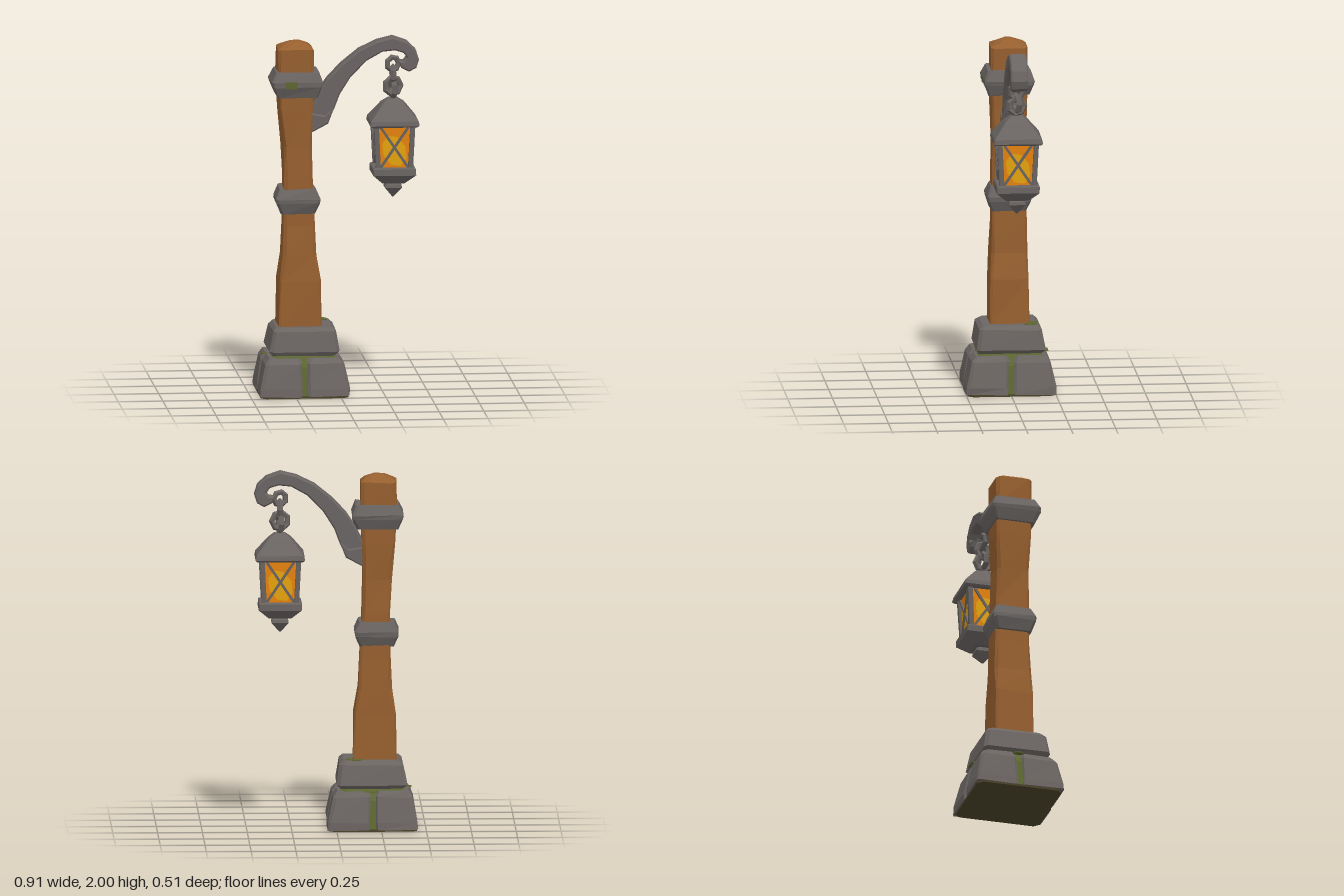
import * as THREE from 'three';

const mat = (name, color) => {
  const m = new THREE.MeshStandardMaterial({ color, flatShading: true });
  m.name = name;
  return m;
};

// Small seeded generator for hand-hewn irregularity
let seed = 7;
const rnd = () => {
  seed = (seed * 16807) % 2147483647;
  return (seed / 2147483647) * 2 - 1;
};

// Stack of chamfered rectangles; each row is [y, x0, x1, z0, z1, chamfer]
function loft(rows, jitter = 0) {
  const rings = rows.map(([y, x0, x1, z0, z1, c]) => [
    [x1 - c, z1], [x1, z1 - c], [x1, z0 + c], [x1 - c, z0],
    [x0 + c, z0], [x0, z0 + c], [x0, z1 - c], [x0 + c, z1],
  ].map(([x, z]) => [x + rnd() * jitter, y + rnd() * jitter, z + rnd() * jitter]));
  const pos = [];
  const tri = (...p) => p.forEach((v) => pos.push(...v));
  const middle = (ring) => [0, 1, 2].map((k) => ring.reduce((s, p) => s + p[k], 0) / 8);
  const last = rings[rings.length - 1];
  for (let i = 0; i < 8; i++) {
    const j = (i + 1) % 8;
    for (let r = 0; r < rings.length - 1; r++) {
      const [a, b, c, d] = [rings[r][i], rings[r][j], rings[r + 1][j], rings[r + 1][i]];
      tri(a, b, c);
      tri(a, c, d);
    }
    tri(middle(rings[0]), rings[0][j], rings[0][i]);
    tri(middle(last), last[i], last[j]);
  }
  const g = new THREE.BufferGeometry();
  g.setAttribute('position', new THREE.Float32BufferAttribute(pos, 3));
  g.computeVertexNormals();
  return g;
}

// Square section centred on the origin
const sq = (y, h, c = 0.005) => [y, -h, h, -h, h, c];

// Outline in x and y with bevelled edges, centred on z = 0
function slab(points, width) {
  const b = 0.008;
  return new THREE.ExtrudeGeometry(new THREE.Shape(points.map(([x, y]) => new THREE.Vector2(x, y))), {
    depth: width - 2 * b, bevelEnabled: true, bevelThickness: b, bevelSize: b, bevelOffset: -b, bevelSegments: 1,
  }).translate(0, 0, b - width / 2);
}

export function createModel() {
  seed = 7;
  const stone = mat('stone', 0x6b6562);
  const iron = mat('iron', 0x696462);
  const wood = mat('wood', 0x965f2f);
  const moss = mat('moss', 0x5c6630);
  const soil = mat('soil', 0x4a4329);
  const amber = mat('amberGlass', 0xe8840e);
  const glow = mat('glowingGlass', 0xeaa610);

  const model = new THREE.Group();
  model.name = 'lampPost';
  const add = (parent, name, geo, material, x = 0, y = 0, z = 0) => {
    const m = new THREE.Mesh(geo, material);
    m.name = name;
    m.position.set(x, y, z);
    parent.add(m);
    return m;
  };

  // Underside, and the mossy core that fills the joints between the stones
  add(model, 'underside', loft([
    [0, -0.448, 0.043, -0.244, 0.244, 0.03],
    [0.012, -0.448, 0.043, -0.244, 0.244, 0.03],
  ]), soil);
  add(model, 'mossCore', loft([
    [0.008, -0.442, 0.038, -0.24, 0.24, 0.03],
    [0.17, -0.416, 0.012, -0.213, 0.213, 0.03],
    [0.205, -0.39, -0.012, -0.19, 0.19, 0.03],
    [0.25, -0.36, -0.04, -0.16, 0.16, 0.02],
  ]), moss);

  // Four foundation stones
  for (const sx of [-1, 1]) {
    for (const sz of [-1, 1]) {
      const row = (y, inner, outer, c) => {
        const x = [-0.202 + sx * inner, -0.202 + sx * outer].sort((a, b) => a - b);
        const z = [sz * inner, sz * outer].sort((a, b) => a - b);
        return [y, ...x, ...z, c];
      };
      add(model, 'foundationStone', loft([
        row(0.01, 0.018, 0.252, 0.01),
        row(0.05, 0.014, 0.248, 0.014),
        row(0.19, 0.012, 0.222, 0.016),
        row(0.222, 0.02, 0.198, 0.018),
      ], 0.005), stone);
    }
  }

  // Upper plinth stone
  add(model, 'plinthStone', loft([
    [0.23, -0.375, -0.025, -0.175, 0.175, 0.02],
    [0.252, -0.398, -0.003, -0.193, 0.193, 0.022],
    [0.365, -0.373, -0.018, -0.175, 0.175, 0.02],
    [0.387, -0.352, -0.04, -0.155, 0.155, 0.02],
  ], 0.004), stone);

  // Moss on the plinth corner and over the back and right-hand joints
  const mossPatch = (w, d, x, y, z) =>
    add(model, 'mossPatch', loft([[0, -w, w, -d, d, d * 0.5], [0.006, -w, w, -d, d, d * 0.5]], 0.002), moss, x, y, z);
  mossPatch(0.052, 0.036, -0.1, 0.385, -0.118);
  mossPatch(0.04, 0.016, -0.19, 0.218, -0.205);
  mossPatch(0.016, 0.03, -0.408, 0.218, 0);

  // Hewn timber post
  add(model, 'post', loft([
    [0.37, -0.335, -0.094, -0.113, 0.11, 0.01],
    [0.64, -0.335, -0.098, -0.11, 0.108, 0.014],
    [0.78, -0.312, -0.125, -0.105, 0.102, 0.018],
    [0.95, -0.305, -0.132, -0.1, 0.098, 0.014],
    [1.22, -0.302, -0.148, -0.095, 0.092, 0.014],
    [1.4, -0.308, -0.15, -0.094, 0.09, 0.018],
    [1.6, -0.33, -0.148, -0.1, 0.095, 0.014],
    [1.8, -0.338, -0.14, -0.105, 0.1, 0.014],
    [1.945, -0.338, -0.142, -0.105, 0.1, 0.016],
    [1.962, -0.315, -0.165, -0.085, 0.08, 0.03],
    [1.985, -0.265, -0.22, -0.03, 0.03, 0.012],
  ], 0.004), wood);

  // Iron collars bulge around their middle
  const collar = (name, y, h, x, hx, hz) => add(model, name, loft(
    [[-1, 0.026], [-0.15, 0.001], [0.2, 0], [1, 0.022]].map(([t, i]) =>
      [y + t * h, x - hx + i, x + hx - i, -hz + i, hz - i, 0.012]), 0.004), iron);
  collar('upperCollar', 1.75, 0.07, -0.232, 0.142, 0.139);
  collar('middleCollar', 1.09, 0.069, -0.228, 0.121, 0.124);
  add(model, 'collarMoss', new THREE.BoxGeometry(0.065, 0.04, 0.009), moss, -0.27, 1.752, 0.137);

  // Curved arm with a curled tip, on a flared foot
  const arm = [
    [-0.155, 1.6], [-0.115, 1.68], [-0.06, 1.765], [0.02, 1.85], [0.12, 1.93], [0.22, 1.978],
    [0.31, 2], [0.39, 1.972], [0.438, 1.925], [0.455, 1.87], [0.44, 1.825], [0.4, 1.803],
    [0.355, 1.825], [0.342, 1.86], [0.372, 1.862], [0.388, 1.882], [0.368, 1.91], [0.32, 1.925],
    [0.25, 1.918], [0.16, 1.868], [0.07, 1.775], [0.01, 1.68], [-0.02, 1.6], [-0.05, 1.54],
    [-0.15, 1.5],
  ];
  add(model, 'arm', slab(arm, 0.096), iron, 0, 0, -0.01);
  add(model, 'armFoot', slab([
    [-0.155, 1.58], [-0.15, 1.468], [-0.055, 1.518], [-0.022, 1.605], [-0.075, 1.565],
  ], 0.114), iron, 0, 0, -0.01);

  // Lantern hangs from the curl; local x and z are its own centre
  const lantern = new THREE.Group();
  lantern.name = 'lantern';
  lantern.position.set(0.311, 0, -0.004);
  model.add(lantern);

  // Chain links: [height, radius, stretch, turn]
  const links = [[1.845, 0.036, 1, 0.3], [1.785, 0.034, 1.25, 1.57], [1.72, 0.047, 1, 0.25], [1.705, 0.045, 1, 1.75]];
  for (const [y, r, stretch, turn] of links) {
    const link = add(lantern, 'chainLink', new THREE.TorusGeometry(r, 0.017, 5, 7), iron, 0, y, 0);
    link.scale.y = stretch;
    link.rotation.y = turn;
  }

  // Roof, tray and pointed finial
  add(lantern, 'roof', loft([
    sq(1.503, 0.128), sq(1.512, 0.138), sq(1.538, 0.132),
    sq(1.625, 0.064), sq(1.652, 0.03),
  ], 0.002), iron);
  add(lantern, 'tray', loft([
    sq(1.178, 0.064), sq(1.222, 0.112), sq(1.23, 0.12), sq(1.265, 0.12), sq(1.272, 0.114),
  ], 0.001), iron);
  add(lantern, 'finial', loft([
    sq(1.095, 0.004, 0.001), sq(1.15, 0.048), sq(1.168, 0.045), sq(1.18, 0.03),
  ]), iron);

  // Corner posts lean outward towards the roof
  for (const sx of [-1, 1]) {
    for (const sz of [-1, 1]) {
      const row = (y, d) => [y, sx * d - 0.014, sx * d + 0.014, sz * d - 0.014, sz * d + 0.014, 0.003];
      add(lantern, 'cornerPost', loft([row(1.265, 0.09), row(1.51, 0.102)]), iron);
    }
  }

  // Four glazed sides, glowing in the middle, each with a crossed guard
  add(lantern, 'glass', loft([sq(1.265, 0.09), sq(1.51, 0.102)]), amber);
  for (let i = 0; i < 4; i++) {
    const side = new THREE.Group();
    side.name = 'lanternSide';
    side.rotation.y = i * Math.PI / 2;
    lantern.add(side);
    const pane = add(side, 'glowPane', new THREE.CylinderGeometry(0.066, 0.066, 0.005, 8), glow, 0, 1.367, 0.0955);
    pane.rotation.set(Math.PI / 2 + 0.049, Math.PI / 8, 0, 'XYZ');
    pane.scale.set(1, 1, 1.4);
    const guard = new THREE.Group();
    guard.name = 'crossGuard';
    guard.position.set(0, 1.387, 0.102);
    guard.rotation.x = 0.049;
    side.add(guard);
    for (const s of [-1, 1]) {
      add(guard, 'crossBar', new THREE.BoxGeometry(0.27, 0.014, 0.01), iron).rotation.z = s * 0.98;
    }
  }
  return model;
}
